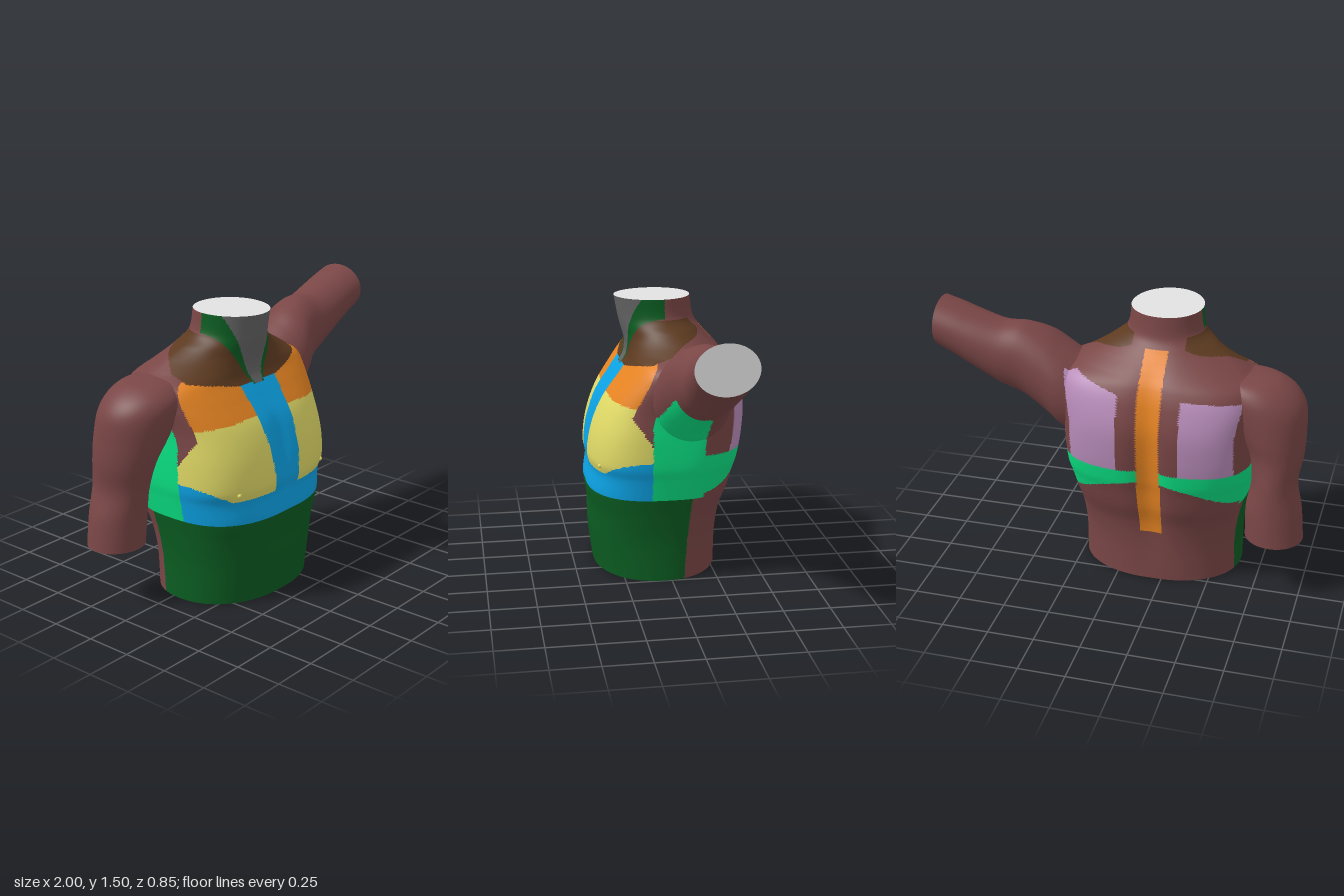
import * as THREE from 'three';

const COLORS = [
  ['skin', 0x7a4646], ['chestYellow', 0xe0d966], ['orange', 0xe68422], ['blue', 0x0ca2e4],
  ['brightGreen', 0x0ae082], ['darkGreen', 0x0b5c21], ['brown', 0x5c3a20], ['lilac', 0xb88cba],
  ['neckGrey', 0x646464], ['cutGrey', 0xe2e2e2],
];
const [SKIN, YELLOW, ORANGE, BLUE, GREEN, DARK, BROWN, LILAC, GREY, CUT] = COLORS.keys();
const MID = -0.193; // centre line of the torso

// Smooth interpolation between the rows of a section table
function sample(table, t) {
  const i = Math.min(Math.floor(t), table.length - 2), f = t - i;
  const row = (k) => table[Math.max(0, Math.min(table.length - 1, k))];
  return table[i].map((b, c) => {
    const a = row(i - 1)[c], d = row(i + 1)[c], e = row(i + 2)[c];
    return b + 0.5 * f * (d - a + f * (2 * a - 5 * b + 4 * d - e + f * (3 * (b - d) + e - a)));
  });
}

// Skin a loop of sections; every face takes the colour given by paint(x, y, z)
function loft(name, table, steps, sides, point, paint, mats) {
  const rows = (table.length - 1) * steps, pos = [], buckets = COLORS.map(() => []);
  for (let i = 0; i <= rows; i++) {
    const s = sample(table, i / steps);
    for (let j = 0; j < sides; j++) pos.push(...point(s, (j / sides) * Math.PI * 2));
  }
  const face = (...v) => {
    const c = [0, 1, 2].map((k) => v.reduce((sum, n) => sum + pos[n * 3 + k], 0) / 3);
    buckets[paint(...c)].push(...v);
  };
  for (let i = 0; i < rows; i++) {
    for (let j = 0; j < sides; j++) {
      const a = i * sides + j, b = i * sides + (j + 1) % sides;
      face(a, a + sides, b);
      face(b, a + sides, b + sides);
    }
  }
  const geo = new THREE.BufferGeometry();
  geo.setAttribute('position', new THREE.Float32BufferAttribute(pos, 3));
  geo.setIndex(buckets.flat());
  let start = 0;
  buckets.forEach((b, k) => {
    if (b.length) geo.addGroup(start, b.length, k);
    start += b.length;
  });
  geo.computeVertexNormals();
  const mesh = new THREE.Mesh(geo, mats);
  mesh.name = name;
  return mesh;
}

// Flat disc closing one end of a loft
function cutFace(name, section, sides, point, atEnd, mats) {
  const ring = [], c = [0, 0, 0], idx = [];
  for (let j = 0; j < sides; j++) {
    const p = point(section, (j / sides) * Math.PI * 2);
    ring.push(...p);
    p.forEach((v, k) => { c[k] += v / sides; });
    const n = (j + 1) % sides;
    idx.push(sides, atEnd ? n : j, atEnd ? j : n);
  }
  const geo = new THREE.BufferGeometry();
  geo.setAttribute('position', new THREE.Float32BufferAttribute([...ring, ...c], 3));
  geo.setIndex(idx);
  geo.computeVertexNormals();
  const mesh = new THREE.Mesh(geo, mats[CUT]);
  mesh.name = name;
  return mesh;
}

// Coloured zones of the body surface
function zone(x, y, z) {
  const d = Math.abs(x - MID);
  // neck and collar
  if (y > 1.13 && z > 0) {
    if (d < 0.03 + 0.39 * (y - 1.13) && z > 0.1) return GREY;
    if (d < 0.04 + 0.62 * (y - 1.13)) return DARK;
  }
  if (y > 1.39) return SKIN;
  const collar = 1.14 + 0.2 * Math.max(0, d - 0.14);
  if (y > collar && d < 0.43 && z > -0.18 + 0.16 * (Math.max(0, d - 0.15) / 0.26) ** 2
    && (d > 0.14 || z > 0)) return BROWN;
  // back
  if (z < -0.1) {
    if (d < 0.062 && y > 0.3 && y < 1.34 && z < -0.19) return ORANGE;
    const top = 1.14 + (x > MID ? 0.25 : -0.05) * (d - 0.17);
    const outer = 0.44 + 0.2 * Math.max(0, y - 0.95);
    if (z < -0.24 && d > 0.165 && d < outer && y > 0.72 && y < top) return LILAC;
    if (y > Math.max(0.47, 0.65 - 0.75 * d * d) && y < 0.72) return GREEN;
  }
  // belly
  if (y < 0.47) return z > -0.07 - 0.08 * y ? DARK : SKIN;
  // chest
  const edge = y < 0.78 ? 0.11 : y < 0.93 ? 0.11 + 0.7 * (y - 0.78) : 0.215 - 0.5 * (y - 0.93);
  if (z > edge && d < 0.53) {
    if (d < 0.09 + 0.09 * (y - 0.6) && y < 1.14) return BLUE;
    if (y < 0.6 + 0.6 * Math.max(0, d - 0.36)) return BLUE;
    return y < 1.01 - 0.06 * d ? YELLOW : ORANGE;
  }
  // flank and armpit
  const front = 0.11 - 0.4 * Math.max(0, y - 0.9);
  if (d > 0.3 && z < front && z > -0.17 && y < Math.min(1.1, 1.13 + z)) return GREEN;
  return SKIN;
}

// y, half width, front z, back z, middle z, squareness
const TORSO = [
  [0, 0.44, 0.385, -0.295, 0.04, 2.2], [0.2, 0.44, 0.408, -0.3, 0.04, 2.3],
  [0.35, 0.455, 0.41, -0.32, 0.04, 2.5], [0.47, 0.475, 0.425, -0.36, 0.02, 2.7],
  [0.58, 0.495, 0.41, -0.385, 0, 2.9], [0.66, 0.51, 0.42, -0.405, 0, 3.1],
  [0.8, 0.515, 0.4, -0.425, -0.02, 3.2], [0.95, 0.515, 0.345, -0.43, -0.04, 3.2],
  [1.08, 0.535, 0.26, -0.4, -0.05, 3.1], [1.17, 0.53, 0.2, -0.36, -0.05, 2.8],
  [1.23, 0.45, 0.19, -0.315, -0.07, 2.1], [1.28, 0.37, 0.2, -0.27, -0.07, 1.75],
  [1.33, 0.285, 0.215, -0.225, -0.04, 1.75], [1.39, 0.207, 0.23, -0.185, 0.01, 1.9],
  [1.5, 0.19, 0.25, -0.165, 0.03, 2],
];
// y, centre x, half width, centre z, half depth
const RIGHT_ARM = [
  [0.33, -0.845, 0.155, -0.2, 0.15], [0.5, -0.835, 0.148, -0.19, 0.155],
  [0.65, -0.83, 0.122, -0.17, 0.165], [0.8, -0.83, 0.142, -0.14, 0.18],
  [0.92, -0.8, 0.175, -0.12, 0.2], [1.05, -0.755, 0.212, -0.1, 0.21],
  [1.13, -0.71, 0.215, -0.09, 0.2], [1.185, -0.67, 0.185, -0.09, 0.16],
  [1.21, -0.65, 0.13, -0.09, 0.1], [1.22, -0.64, 0.004, -0.09, 0.004],
];
// x, centre y, half height, centre z, half depth
const LEFT_ARM = [
  [0.1, 1, 0.16, -0.1, 0.13], [0.22, 1, 0.215, -0.1, 0.19], [0.32, 1.04, 0.235, -0.1, 0.212],
  [0.42, 1.11, 0.225, -0.1, 0.2], [0.54, 1.175, 0.2, -0.12, 0.168], [0.66, 1.205, 0.175, -0.135, 0.16],
  [0.8, 1.265, 0.155, -0.14, 0.16], [0.9, 1.31, 0.143, -0.14, 0.16], [1, 1.35, 0.13, -0.14, 0.16],
];

const bump = (v, centre, size) => Math.exp(-(((v - centre) / size) ** 2));

function torsoPoint([y, w, zf, zb, zm, n], a) {
  const c = Math.cos(a), s = Math.sin(a);
  const r = (Math.abs(c) ** n + Math.abs(s) ** n) ** (-1 / n);
  const d = w * r * c;
  let z = zm + (s > 0 ? zf - zm : zm - zb) * r * s;
  // groove between the chest halves, soft belly line and spine furrow
  if (s > 0) z -= bump(d, 0, 0.05) * (0.022 * bump(y, 0.78, 0.16) + 0.008 * bump(y, 0.25, 0.2));
  else z += 0.04 * bump(d, 0, 0.08) * bump(y, 0.75, 0.45);
  return [MID + d, y, z];
}
const rightArmPoint = ([y, cx, rx, cz, rz], a) => [cx + rx * Math.cos(a), y, cz + rz * Math.sin(a)];
const leftArmPoint = ([x, cy, ry, cz, rz], a) => [x, cy + ry * Math.cos(a), cz - rz * Math.sin(a)];

export function createModel() {
  const mats = COLORS.map(([name, color]) => {
    const m = new THREE.MeshStandardMaterial({ color });
    m.name = name;
    return m;
  });
  const group = new THREE.Group();
  group.name = 'torsoModel';

  group.add(
    loft('torso', TORSO, 14, 240, torsoPoint, zone, mats),
    cutFace('waistCut', TORSO[0], 240, torsoPoint, false, mats),
    cutFace('neckCut', TORSO.at(-1), 240, torsoPoint, true, mats),
    loft('rightArm', RIGHT_ARM, 8, 80, rightArmPoint, () => SKIN, mats),
    cutFace('rightArmCut', RIGHT_ARM[0], 80, rightArmPoint, false, mats),
    loft('leftArm', LEFT_ARM, 11, 100, leftArmPoint, (x, y, z) => {
      const k = zone(x, y, z);
      return (k === GREEN && x < 0.55) || k === LILAC || k === ORANGE || k === YELLOW ? k : SKIN;
    }, mats),
    cutFace('leftArmCut', LEFT_ARM.at(-1), 100, leftArmPoint, true, mats),
  );

  // small chest points
  for (const side of [-1, 1]) {
    const tip = new THREE.Mesh(new THREE.SphereGeometry(0.012, 12, 8), mats[YELLOW]);
    tip.position.set(MID + side * 0.34, 0.64, 0.374);
    tip.name = side > 0 ? 'leftNipple' : 'rightNipple';
    group.add(tip);
  }
  return group;
}
